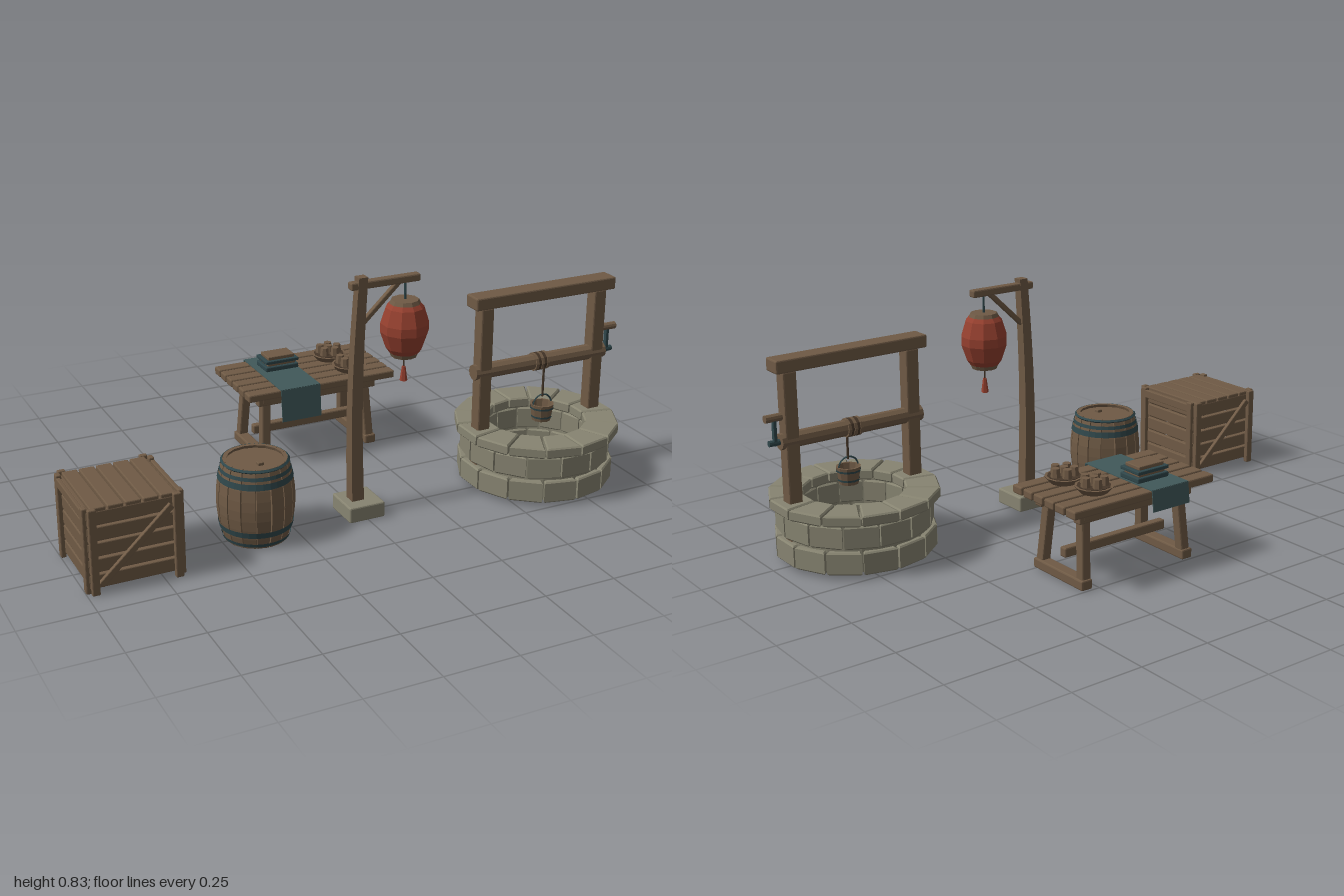
import * as THREE from 'three';
import { RoundedBoxGeometry } from 'three/addons/geometries/RoundedBoxGeometry.js';

const mat = (name, color, side = THREE.FrontSide) =>
  new THREE.MeshStandardMaterial({ name, color, side, flatShading: true });
const wood = mat('wood', 0x6f5a45);
const darkWood = mat('dark wood', 0x453629);
const stone = mat('stone', 0x878471);
const teal = mat('teal cloth and water', 0x41595a, THREE.DoubleSide);
const iron = mat('blue iron', 0x2f464a, THREE.DoubleSide);
const red = mat('red paper', 0x95402f);

function add(parent, name, geometry, material, x = 0, y = 0, z = 0) {
  const mesh = new THREE.Mesh(geometry, material);
  mesh.name = name;
  mesh.position.set(x, y, z);
  parent.add(mesh);
  return mesh;
}
// Softly chamfered block
function block(parent, name, w, h, d, x, y, z, material = wood) {
  const r = Math.min(0.005, Math.min(w, h, d) * 0.2);
  return add(parent, name, new RoundedBoxGeometry(w, h, d, 1, r), material, x, y, z);
}
const cyl = (parent, name, rTop, rBottom, h, sides, x, y, z, material = wood) =>
  add(parent, name, new THREE.CylinderGeometry(rTop, rBottom, h, sides), material, x, y, z);
// Square beam between two points
function beam(parent, name, a, b, w, d, material = wood) {
  const p = new THREE.Vector3(...a), dir = new THREE.Vector3(...b).sub(p);
  const mesh = block(parent, name, w, dir.length(), d, 0, 0, 0, material);
  mesh.position.copy(p).addScaledVector(dir, 0.5);
  mesh.quaternion.setFromUnitVectors(new THREE.Vector3(0, 1, 0), dir.normalize());
  return mesh;
}
function group(parent, name, x, z) {
  const g = new THREE.Group();
  g.name = name;
  g.position.set(x, 0, z);
  parent.add(g);
  return g;
}

function buildCrate(root) {
  const g = group(root, 'crate', -0.838, 0.247);
  for (let i = 0; i < 5; i++) {
    const y = 0.04 + i * 0.053;
    for (const s of [-1, 1]) {
      block(g, 'frontSlat', 0.3, 0.046, 0.016, 0, y, s * 0.138);
      block(g, 'sideSlat', 0.016, 0.046, 0.28, s * 0.14, y, 0);
    }
    const x = -0.112 + i * 0.056;
    block(g, 'topPlank', 0.05, 0.018, 0.29, x, 0.277, 0);
    block(g, 'bottomPlank', 0.05, 0.014, 0.27, x, 0.02, 0);
  }
  for (const s of [-1, 1]) {
    for (const t of [-1, 1]) {
      block(g, 'frontBatten', 0.026, 0.288, 0.018, t * 0.135, 0.144, s * 0.153);
      block(g, 'sideBatten', 0.018, 0.288, 0.026, t * 0.153, 0.144, s * 0.13);
    }
    block(g, 'sideRail', 0.014, 0.03, 0.27, s * 0.155, 0.265, 0);
    beam(g, 'diagonalBrace', [-s * 0.118, 0.03, s * 0.153], [s * 0.118, 0.25, s * 0.153], 0.022, 0.014);
  }
}

function buildBarrel(root) {
  const g = group(root, 'barrel', -0.378, 0.247), h = 0.276, n = 16;
  const radius = (y) => 0.104 + 0.023 * (1 - (2 * y / h) ** 2);
  // Staves swell at the middle
  for (let i = 0; i < n; i++) {
    const geo = new THREE.BoxGeometry(0.046, h, 0.014, 1, 8, 1), p = geo.attributes.position;
    for (let k = 0; k < p.count; k++) {
      const r = radius(p.getY(k));
      p.setX(k, p.getX(k) * r / 0.127);
      p.setZ(k, p.getZ(k) + r - 0.007);
    }
    geo.rotateY((i + 0.5) * 2 * Math.PI / n);
    add(g, 'stave', geo, wood, 0, 0.14, 0);
  }
  cyl(g, 'innerCore', 0.097, 0.097, 0.24, 16, 0, 0.138, 0, darkWood);
  cyl(g, 'lid', 0.096, 0.096, 0.012, 16, 0, 0.262, 0);
  cyl(g, 'barrelBase', 0.096, 0.096, 0.012, 16, 0, 0.016, 0);
  block(g, 'bung', 0.02, 0.012, 0.02, 0, 0.272, 0.04);
  for (const [y, w] of [[0.11, 0.012], [0.085, 0.02], [-0.085, 0.02], [-0.125, 0.012]]) {
    const pts = [-w / 2, w / 2].map((d) => new THREE.Vector2(radius(y + d) + 0.004, y + d));
    add(g, 'hoop', new THREE.LatheGeometry(pts, 32), iron, 0, 0.14, 0);
  }
  add(g, 'topHoop', new THREE.TorusGeometry(0.107, 0.006, 4, 24).rotateX(Math.PI / 2), iron, 0, 0.272, 0);
}

function buildLanternPost(root) {
  const g = group(root, 'lanternPost', 0, 0.25);
  block(g, 'footStone', 0.13, 0.055, 0.135, -0.005, 0.028, 0, stone);
  // Gently bent post
  const geo = new THREE.BoxGeometry(0.04, 0.79, 0.04, 1, 10, 1), p = geo.attributes.position;
  for (let k = 0; k < p.count; k++) {
    const t = p.getY(k) / 0.79 + 0.5, s = 1.1 - 0.3 * t;
    p.setXYZ(k, p.getX(k) * s - 0.017 + 0.016 * t - 0.012 * Math.sin(t * Math.PI), p.getY(k), p.getZ(k) * s);
  }
  add(g, 'post', geo, wood, 0, 0.437, 0);
  block(g, 'arm', 0.25, 0.026, 0.03, 0.082, 0.805, 0);
  beam(g, 'armBrace', [0, 0.672, 0], [0.135, 0.798, 0], 0.017, 0.017);
  // Hanging lantern
  cyl(g, 'hanger', 0.004, 0.004, 0.07, 6, 0.158, 0.765, 0, iron);
  const profile = [[0.046, 0.548], [0.062, 0.57], [0.081, 0.625], [0.081, 0.655], [0.064, 0.708], [0.05, 0.724]];
  add(g, 'lanternShade', new THREE.LatheGeometry(profile.map((q) => new THREE.Vector2(...q)), 10), red, 0.158, 0, 0);
  cyl(g, 'lanternTopCap', 0.046, 0.053, 0.014, 10, 0.158, 0.727, 0);
  cyl(g, 'lanternBottomCap', 0.049, 0.043, 0.014, 10, 0.158, 0.545, 0);
  cyl(g, 'tasselCord', 0.003, 0.003, 0.04, 5, 0.158, 0.52, 0, darkWood);
  cyl(g, 'tassel', 0.006, 0.013, 0.05, 6, 0.158, 0.476, 0, red);
}

function buildTable(root) {
  const g = group(root, 'table', 0.083, -0.366);
  for (let i = 0; i < 6; i++)
    block(g, 'tablePlank', 0.575, 0.028, 0.047, 0, 0.275, -0.138 + i * 0.0552);
  for (const s of [-1, 1]) {
    block(g, 'rail', 0.465, 0.042, 0.034, 0, 0.24, s * 0.1);
    block(g, 'foot', 0.042, 0.034, 0.255, s * 0.21, 0.017, 0);
    block(g, 'crossBearer', 0.04, 0.034, 0.235, s * 0.2, 0.243, 0);
    for (const t of [-1, 1])
      beam(g, 'leg', [s * 0.208, 0.025, t * 0.105], [s * 0.195, 0.25, t * 0.085], 0.034, 0.034);
  }
  block(g, 'stretcher', 0.42, 0.034, 0.028, 0, 0.087, 0);
  // Cloth runner draped over both long edges
  const drape = [[0.18, 0.175], [0.17, 0.292], [-0.168, 0.292], [-0.176, 0.222]];
  for (let i = 0; i < 3; i++) {
    const [z0, y0] = drape[i], [z1, y1] = drape[i + 1];
    const panel = add(g, 'clothRunner', new THREE.BoxGeometry(0.152, 0.003, Math.hypot(z1 - z0, y1 - y0)), teal,
      -0.093, (y0 + y1) / 2, (z0 + z1) / 2);
    panel.rotation.x = -Math.atan2(y1 - y0, z1 - z0);
  }
  // Stacked box resting on the runner
  block(g, 'boxBase', 0.128, 0.018, 0.092, -0.083, 0.303, -0.053, iron);
  block(g, 'boxMiddle', 0.108, 0.012, 0.074, -0.083, 0.317, -0.053, wood);
  block(g, 'boxBand', 0.128, 0.012, 0.092, -0.083, 0.328, -0.053, iron);
  block(g, 'boxLid', 0.104, 0.013, 0.07, -0.083, 0.34, -0.053, wood);
  // Dishes of small round cakes
  for (const [x, z] of [[0.144, 0.078], [0.125, -0.052]]) {
    const dish = group(g, 'dish', x, z);
    cyl(dish, 'plate', 0.064, 0.045, 0.022, 12, 0, 0.3, 0);
    cyl(dish, 'plateHollow', 0.055, 0.055, 0.003, 12, 0, 0.311, 0, darkWood);
    for (let i = 0; i < 6; i++) {
      const a = i * Math.PI * 2 / 5, r = i < 5 ? 0.033 : 0;
      cyl(dish, 'cake', 0.014, 0.017, 0.032, 7, r * Math.cos(a), 0.326, r * Math.sin(a));
    }
  }
}

// Ring of bevelled wedge stones
function stoneRing(parent, name, n, inner, outer, y0, y1, offset) {
  const b = 0.005, half = Math.PI / n, shape = new THREE.Shape();
  const gi = half - 0.008 / inner, go = half - 0.008 / outer;
  [[inner + b, -gi], [outer - b, -go], [outer - b, go], [inner + b, gi]].forEach(([r, a], i) =>
    shape[i ? 'lineTo' : 'moveTo'](r * Math.cos(a), r * Math.sin(a)));
  const geo = new THREE.ExtrudeGeometry(shape, {
    depth: y1 - y0 - 2 * b, bevelThickness: b, bevelSize: b, bevelSegments: 1,
  });
  geo.rotateX(-Math.PI / 2);
  for (let i = 0; i < n; i++)
    add(parent, name, geo, stone, 0, y0 + b, 0).rotation.y = (i + offset) * 2 * half;
}

function buildWell(root) {
  const g = group(root, 'well', 0.69, 0.248);
  stoneRing(g, 'lowerStone', 14, 0.185, 0.27, 0.015, 0.092, 0);
  stoneRing(g, 'middleStone', 14, 0.185, 0.262, 0.1, 0.177, 0.5);
  stoneRing(g, 'capStone', 14, 0.17, 0.285, 0.185, 0.222, 0);
  // Mortar behind the joints
  const mortar = [[0.19, 0.02], [0.25, 0.02], [0.25, 0.2], [0.19, 0.2], [0.19, 0.02]];
  add(g, 'mortar', new THREE.LatheGeometry(mortar.map((q) => new THREE.Vector2(...q)), 28), stone);
  cyl(g, 'water', 0.195, 0.195, 0.006, 28, 0, 0.035, 0, teal);
  for (const s of [-1, 1]) block(g, 'post', 0.048, 0.63, 0.048, s * 0.226, 0.345, 0);
  block(g, 'topBeam', 0.555, 0.044, 0.07, 0, 0.682, 0);
  // Winch roller, rope and crank
  const across = (name, r, len, x, y, m) => { cyl(g, name, r, r, len, 10, x, y, 0, m).rotation.z = Math.PI / 2; };
  across('roller', 0.027, 0.525, 0, 0.43, wood);
  across('axle', 0.01, 0.06, 0.27, 0.43, iron);
  for (let i = -2; i <= 2; i++) across('ropeCoil', 0.032, 0.009, i * 0.011, 0.43, i % 2 ? darkWood : wood);
  block(g, 'crankArm', 0.012, 0.1, 0.016, 0.278, 0.47, 0, iron);
  across('crankHandle', 0.013, 0.058, 0.281, 0.513, wood);
  cyl(g, 'rope', 0.004, 0.004, 0.12, 6, 0, 0.37, 0.034, darkWood);
  // Bucket
  const bucket = group(g, 'bucket', 0, 0.034);
  const side = [[0, 0.225], [0.033, 0.225], [0.042, 0.285], [0.035, 0.285], [0.029, 0.235], [0, 0.235]];
  add(bucket, 'bucketBody', new THREE.LatheGeometry(side.map((q) => new THREE.Vector2(...q)), 10), wood);
  for (const [y, r] of [[0.24, 0.0365], [0.272, 0.0415]])
    add(bucket, 'bucketHoop', new THREE.CylinderGeometry(r + 0.001, r, 0.007, 10, 1, true), iron, 0, y, 0);
  add(bucket, 'bucketHandle', new THREE.TorusGeometry(0.037, 0.003, 4, 12, Math.PI), iron, 0, 0.28, 0);
}

export function createModel() {
  const root = new THREE.Group();
  root.name = 'villageProps';
  buildCrate(root);
  buildBarrel(root);
  buildLanternPost(root);
  buildTable(root);
  buildWell(root);
  return root;
}
